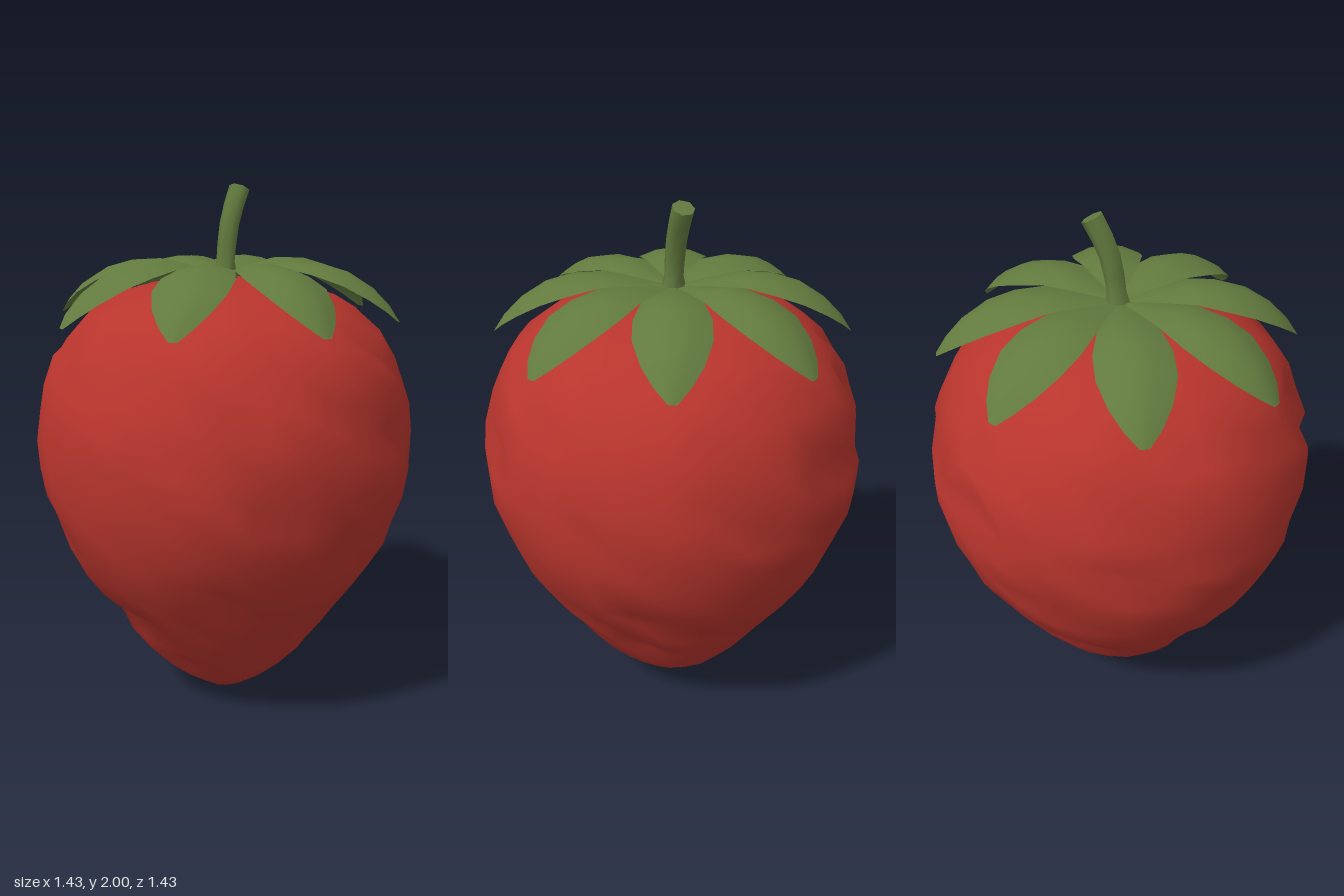
import * as THREE from 'three';
import { mergeVertices } from 'three/addons/utils/BufferGeometryUtils.js';

const red = new THREE.MeshStandardMaterial({ color: 0xb8352d });
red.name = 'berry red';
const green = new THREE.MeshStandardMaterial({ color: 0x627a3e, side: THREE.DoubleSide });
green.name = 'leaf green';

function seededRandom(seed) {
  return () => {
    seed = (seed * 16807) % 2147483647;
    return seed / 2147483647;
  };
}

// Smooth lathe whose vertices are shuffled and dented to give a pitted skin
function makeBerry() {
  const outline = [
    [0, 0], [0.07, 0.01], [0.17, 0.07], [0.31, 0.2], [0.455, 0.4], [0.59, 0.6], [0.675, 0.8],
    [0.715, 1.0], [0.7, 1.2], [0.63, 1.4], [0.54, 1.51], [0.39, 1.605], [0.2, 1.645], [0, 1.65],
  ].map(([r, y]) => new THREE.Vector2(r, y));
  const profile = new THREE.SplineCurve(outline).getSpacedPoints(23);
  profile[0].x = profile[23].x = 0;
  let geo = new THREE.LatheGeometry(profile, 30);
  geo.deleteAttribute('uv');
  geo.deleteAttribute('normal');
  geo = mergeVertices(geo, 1e-4);

  const random = seededRandom(77);
  const pos = geo.attributes.position;
  for (let i = 0; i < pos.count; i++) {
    const x = pos.getX(i), y = pos.getY(i), z = pos.getZ(i);
    const r = Math.hypot(x, z);
    if (r < 0.1) continue;
    const fade = Math.min(1, r / 0.4) * (y > 1.5 ? 0.4 : 1);
    const dent = random() < 0.16 ? 0.025 + 0.02 * random() : 0.008 * random() - 0.004;
    const angle = Math.atan2(x, z) + (random() - 0.5) * 0.11;
    const newR = r - dent * fade;
    const slide = (random() - 0.5) * 0.03 * fade;
    // Slide along the wall so that the outline is kept
    const slope = y < 0.9 ? 0.7 : y > 1.25 ? -0.6 : 0;
    pos.setXYZ(i, Math.sin(angle) * (newR + slide * slope), y + slide, Math.cos(angle) * (newR + slide * slope));
  }
  geo.computeVertexNormals();
  const mesh = new THREE.Mesh(geo, red);
  mesh.name = 'berry';
  return mesh;
}

// One arched leaf running along +z: [distance, half width, ridge height, droop of the edges]
function makeLeafGeometry() {
  const stations = [
    [0, 0, 1.68, 0], [0.13, 0.054, 1.7, 0.005], [0.25, 0.104, 1.725, 0.02], [0.36, 0.13, 1.718, 0.035],
    [0.46, 0.13, 1.69, 0.04], [0.55, 0.1, 1.635, 0.035], [0.61, 0.06, 1.575, 0.02], [0.65, 0.015, 1.515, 0],
  ];
  const across = 4, positions = [], index = [];
  stations.forEach(([z, w, y, droop], i) => {
    for (let j = 0; j <= across; j++) {
      const u = (j / across) * 2 - 1;
      positions.push(u * w, y - droop * u * u, z);
      if (i < stations.length - 1 && j < across) {
        const a = i * (across + 1) + j, b = a + across + 1;
        index.push(a, b, a + 1, b, b + 1, a + 1);
      }
    }
  });
  const geo = new THREE.BufferGeometry();
  geo.setAttribute('position', new THREE.Float32BufferAttribute(positions, 3));
  geo.setIndex(index);
  geo.computeVertexNormals();
  return geo;
}

// Bent stalk built from rings, flared at the foot and closed at the top
function makeStem() {
  const group = new THREE.Group();
  group.name = 'stem';
  const geo = new THREE.CylinderGeometry(1, 1, 1, 7, 5);
  const path = new THREE.CatmullRomCurve3([
    new THREE.Vector3(0, 1.66, -0.005), new THREE.Vector3(0, 1.76, -0.015),
    new THREE.Vector3(0, 1.87, -0.04), new THREE.Vector3(0, 1.978, -0.095),
  ]);
  const pos = geo.attributes.position;
  for (let i = 0; i < pos.count; i++) {
    const t = pos.getY(i) + 0.5;
    const p = path.getPoint(t), d = path.getTangent(t);
    const r = t < 0.1 ? 0.05 : 0.034 + 0.006 * t;
    const x = pos.getX(i) * r, z = pos.getZ(i) * r;
    pos.setXYZ(i, p.x + x, p.y - z * d.z, p.z + z * d.y);
  }
  geo.computeVertexNormals();
  group.add(new THREE.Mesh(geo, green));
  group.children[0].name = 'stalk';
  return group;
}

export function createModel() {
  const model = new THREE.Group();
  model.name = 'strawberry';
  model.add(makeBerry());

  // Crown of eight leaves
  const crown = new THREE.Group();
  crown.name = 'leafCrown';
  const leafGeo = makeLeafGeometry();
  for (let k = 0; k < 8; k++) {
    const leaf = new THREE.Mesh(leafGeo, green);
    leaf.name = 'leaf';
    leaf.rotation.y = ((k + 0.5) * Math.PI) / 4;
    crown.add(leaf);
  }
  model.add(crown, makeStem());
  return model;
}
